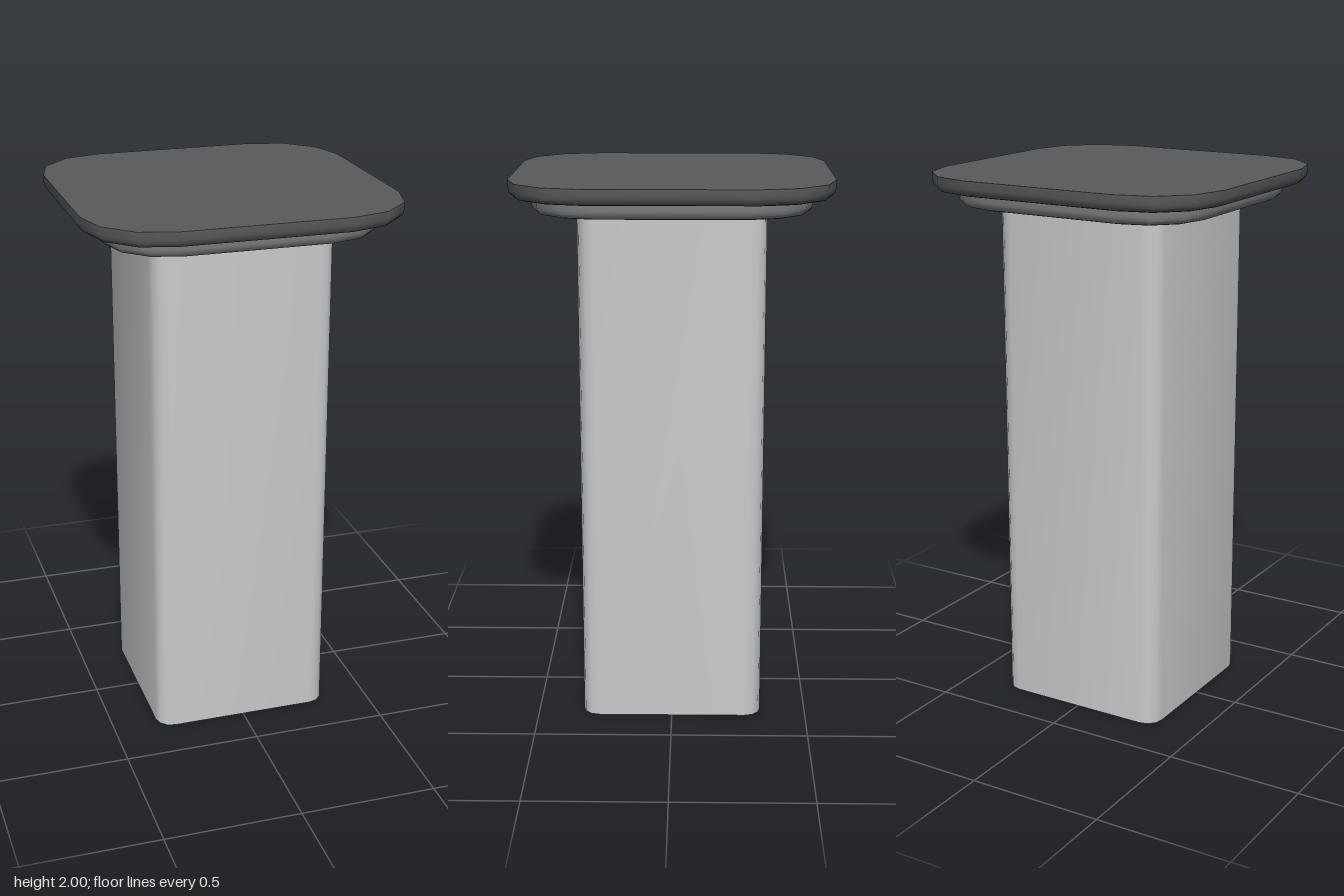
import * as THREE from 'three';
import { toCreasedNormals } from 'three/addons/utils/BufferGeometryUtils.js';

const CORNER_STEPS = 3;

// Rounded square outline, running from +x towards +z
function outline(half, radius) {
  const pts = [];
  const c = half - radius;
  for (let q = 0; q < 4; q++) {
    const mid = Math.PI / 4 + q * Math.PI / 2;
    const cx = Math.sign(Math.cos(mid)) * c, cz = Math.sign(Math.sin(mid)) * c;
    for (let i = 0; i <= CORNER_STEPS; i++) {
      const a = (q + i / CORNER_STEPS) * Math.PI / 2;
      pts.push([cx + radius * Math.cos(a), cz + radius * Math.sin(a)]);
    }
  }
  return pts;
}

// Solid rounded-square slab; the bottom edge is rounded by "bevel"
function slab(name, half, radius, y0, y1, bevel, color) {
  const rings = [];
  const steps = bevel > 0 ? 3 : 0;
  for (let i = 0; i <= steps; i++) {
    const a = steps ? (i / steps) * Math.PI / 2 : 0;
    rings.push([bevel * (1 - Math.sin(a)), y0 + bevel * (1 - Math.cos(a))]);
  }
  rings.push([0, y1]);

  const positions = [], index = [];
  const n = 4 * (CORNER_STEPS + 1);
  for (const [inset, y] of rings) {
    for (const [x, z] of outline(half - inset, radius - inset)) positions.push(x, y, z);
  }
  for (let r = 0; r < rings.length - 1; r++) {
    for (let i = 0; i < n; i++) {
      const a = r * n + i, b = r * n + (i + 1) % n;
      index.push(a, a + n, b, b, a + n, b + n);
    }
  }
  // Flat caps
  const bottom = rings.length * n, top = bottom + 1, last = (rings.length - 1) * n;
  positions.push(0, y0, 0, 0, y1, 0);
  for (let i = 0; i < n; i++) {
    const j = (i + 1) % n;
    index.push(bottom, i, j, top, last + j, last + i);
  }
  const geometry = new THREE.BufferGeometry();
  geometry.setAttribute('position', new THREE.Float32BufferAttribute(positions, 3));
  geometry.setIndex(index);
  const mesh = new THREE.Mesh(
    toCreasedNormals(geometry, 0.65),
    new THREE.MeshStandardMaterial({ color })
  );
  mesh.name = name;
  return mesh;
}

export function createModel() {
  const group = new THREE.Group();
  group.name = 'cappedPost';
  group.add(
    slab('post', 0.332, 0.06, 0, 1.89, 0, 0xcccccc),
    slab('lowerCapPlate', 0.491, 0.23, 1.885, 1.943, 0.03, 0x808080),
    slab('upperCapPlate', 0.568, 0.27, 1.942, 2, 0.03, 0x5a5a5a)
  );
  return group;
}
